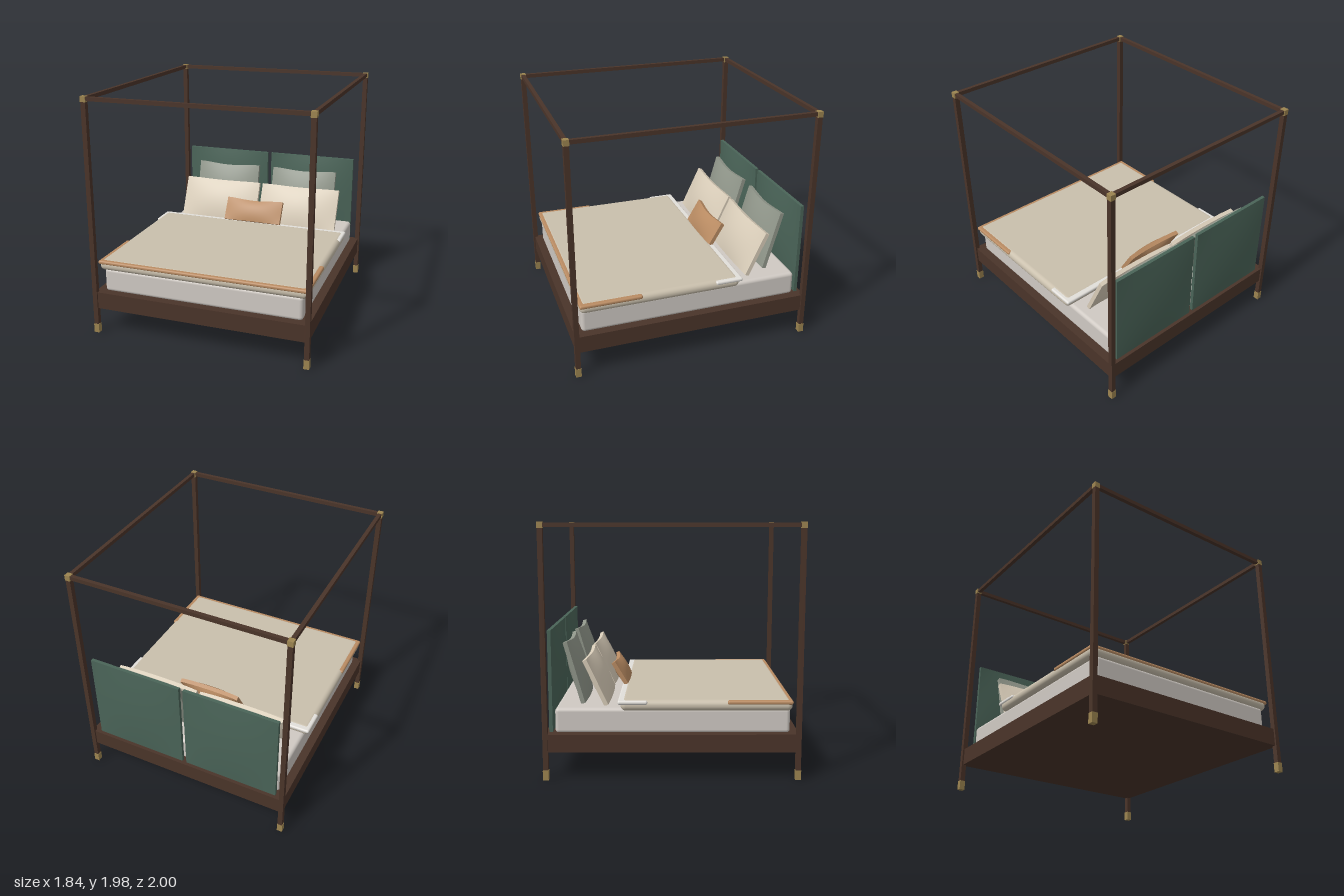
import * as THREE from 'three';
import { RoundedBoxGeometry } from 'three/addons/geometries/RoundedBoxGeometry.js';

const mat = (color) => new THREE.MeshStandardMaterial({ color });
const wood = mat(0x4a3429), brass = mat(0x9c8450), green = mat(0x4a6458);
const linen = mat(0xcfc9c3), sheet = mat(0xe2dfda), quilt = mat(0xc9bfac);
const tan = mat(0xb98b62), cream = mat(0xd8ccb8), sage = mat(0x90968a);

export function createModel() {
  const model = new THREE.Group();

  const add = (name, geometry, material, x, y, z) => {
    const mesh = new THREE.Mesh(geometry, material);
    mesh.name = name;
    mesh.position.set(x, y, z);
    model.add(mesh);
    return mesh;
  };
  const box = (name, material, w, h, d, x, y, z) =>
    add(name, new THREE.BoxGeometry(w, h, d), material, x, y, z);
  // Rounded slab given by its extents in y and z, centred on x
  const slab = (name, material, w, y0, y1, z0, z1, r) =>
    add(name, new RoundedBoxGeometry(w, y1 - y0, z1 - z0, 5, r), material, 0, (y0 + y1) / 2, (z0 + z1) / 2);

  // Cushion: thin at the border, swollen in the middle, top edge sagging
  const cushionGeometry = (w, h, edge, front, back, sag, bow) => {
    const g = new THREE.BoxGeometry(w, h, edge, 20, 20, 1);
    const p = g.attributes.position;
    for (let i = 0; i < p.count; i++) {
      const u = (2 * p.getX(i)) / w, v = (2 * p.getY(i)) / h, z = p.getZ(i);
      const swell = (1 - u * u) * (1 - v * v);
      const middle = (1 - u * u) ** 2;
      p.setY(i, p.getY(i) - sag * middle * Math.max(v, 0));
      p.setZ(i, z + (z > 0 ? front : -back) * swell + bow * (1 - u * u) * v * v);
    }
    g.computeVertexNormals();
    return g;
  };

  // Cushion leaning from a bottom point to a top point, both as (y, z)
  const pillow = (name, material, x, w, bottom, top, belly, sag) => {
    const dy = top[0] - bottom[0], dz = top[1] - bottom[1];
    const g = cushionGeometry(w, Math.hypot(dy, dz), 0.034, belly, belly, sag, 0.015);
    const mesh = add(name, g, material, x, (top[0] + bottom[0]) / 2, (top[1] + bottom[1]) / 2);
    mesh.rotation.x = Math.atan2(dz, dy);
  };

  // Corner posts with brass feet and caps
  const px = 0.898, pz = 0.978;
  for (const sx of [-1, 1]) {
    for (const sz of [-1, 1]) {
      box('post', wood, 0.04, 1.92, 0.04, sx * px, 1.0, sz * pz);
      box('foot', brass, 0.045, 0.076, 0.045, sx * px, 0.038, sz * pz);
      box('postCap', brass, 0.045, 0.045, 0.045, sx * px, 1.958, sz * pz);
    }
  }

  // Canopy rails
  for (const s of [-1, 1]) {
    box('canopyCrossRail', wood, 2 * px, 0.032, 0.032, 0, 1.96, s * pz);
    box('canopySideRail', wood, 0.032, 0.032, 2 * pz, s * px, 1.96, 0);
  }

  // Base and bedding
  box('bedBase', wood, 1.81, 0.142, 1.97, 0, 0.288, 0);
  slab('mattress', linen, 1.68, 0.35, 0.552, -0.91, 0.92, 0.03);
  slab('duvet', quilt, 1.76, 0.535, 0.622, -0.4, 0.935, 0.042);
  slab('foldedSheet', sheet, 1.772, 0.588, 0.619, -0.42, -0.19, 0.014);
  slab('throwBlanket', tan, 1.772, 0.588, 0.62, 0.43, 0.937, 0.014);

  // Padded headboard panels and paired pillows
  for (const s of [-1, 1]) {
    add('headboardPanel', cushionGeometry(0.812, 0.8, 0.028, 0.04, 0.018, 0, 0), green, s * 0.424, 0.76, -0.943);
    pillow('backPillow', sage, s * 0.38, 0.615, [0.553, -0.706], [1.045, -0.843], 0.05, 0.018);
    pillow('middlePillow', cream, s * 0.386, 0.742, [0.553, -0.516], [0.914, -0.684], 0.047, 0.008);
  }
  pillow('lumbarPillow', tan, 0, 0.54, [0.617, -0.386], [0.803, -0.496], 0.036, 0.018);

  return model;
}
